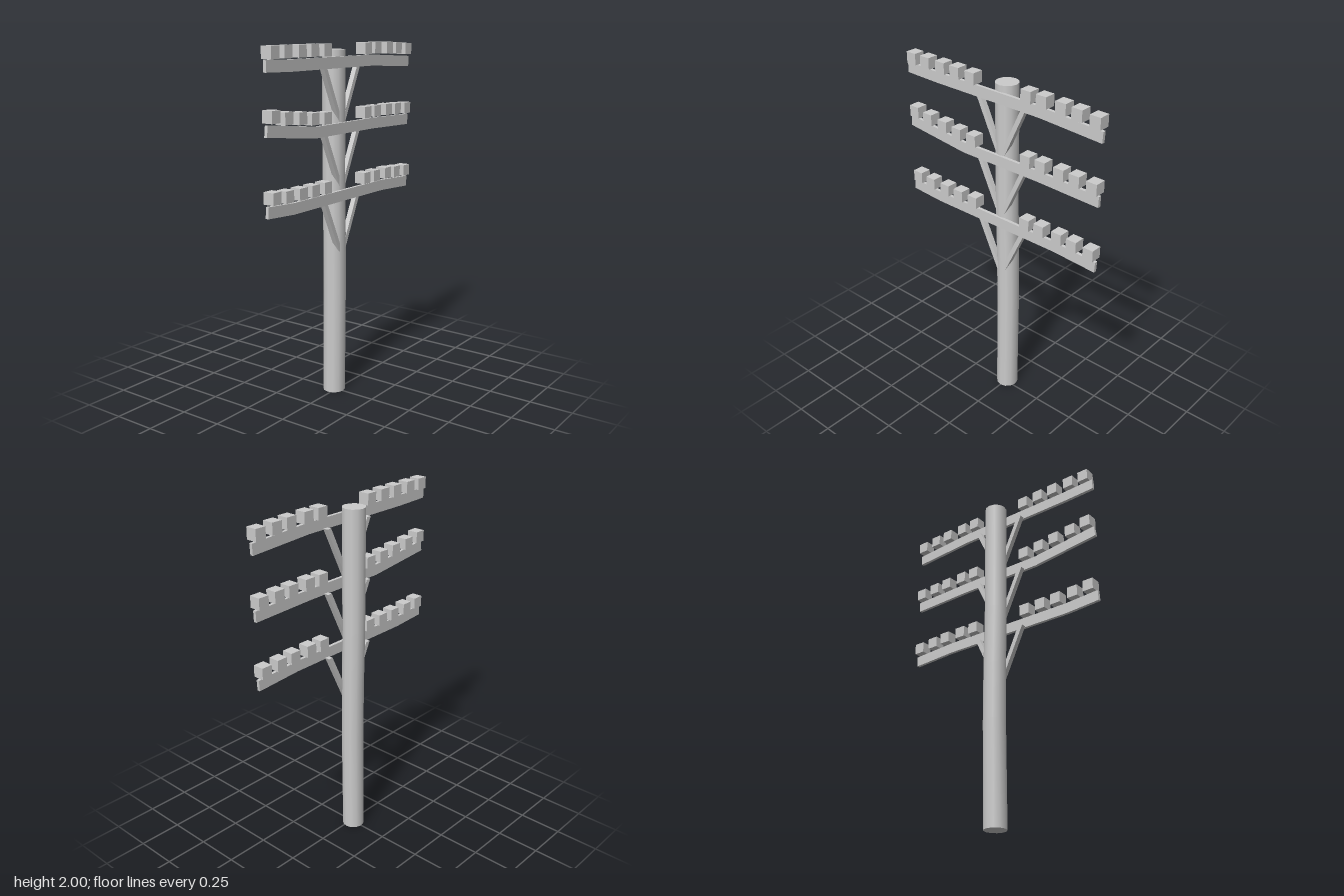
import * as THREE from 'three';

const material = new THREE.MeshStandardMaterial({ color: 0xcccccc });

function addMesh(parent, name, geometry) {
  const mesh = new THREE.Mesh(geometry, material);
  mesh.name = name;
  parent.add(mesh);
  return mesh;
}

// Flat outline in x/y, given a thickness from z0 to z1
function slab(points, z0, z1) {
  const shape = new THREE.Shape(points.map(([x, y]) => new THREE.Vector2(x, y)));
  const geometry = new THREE.ExtrudeGeometry(shape, { depth: z1 - z0, bevelEnabled: false });
  return geometry.translate(0, 0, z0);
}

// Slightly crooked pole: each ring has a height and a sideways shift
function poleGeometry() {
  const rings = [[1.965, -0.002], [1.28, -0.002], [0.93, 0.005], [0.6, 0.007], [0, 0]];
  const geometry = new THREE.CylinderGeometry(0.064, 0.064, 4, 12, 4);
  const p = geometry.attributes.position;
  for (let i = 0; i < p.count; i++) {
    const [y, shift] = rings[Math.round(2 - p.getY(i))];
    p.setXYZ(i, p.getX(i) + shift, y, p.getZ(i) - 0.017);
  }
  return geometry;
}

const ARM_HEIGHT = 0.061;
const BLOCK = 0.064;
const blockX = [-0.606, -0.505, -0.392, -0.288, -0.18, 0.196, 0.294, 0.413, 0.51, 0.617];

// Underside line of each warped arm, and centre heights of its insulators
const tiers = [
  {
    name: 'top',
    under: [[-0.655, 1.873], [-0.45, 1.868], [0.27, 1.868], [0.65, 1.848]],
    blocks: [1.968, 1.968, 1.968, 1.968, 1.966, 1.966, 1.966, 1.964, 1.96, 1.953],
  },
  {
    name: 'middle',
    under: [[-0.655, 1.559], [-0.25, 1.514], [0.27, 1.514], [0.65, 1.504]],
    blocks: [1.658, 1.642, 1.632, 1.62, 1.614, 1.614, 1.614, 1.613, 1.61, 1.606],
  },
  {
    name: 'lower',
    under: [[-0.655, 1.153], [-0.45, 1.14], [0.38, 1.14], [0.65, 1.125]],
    blocks: [1.252, 1.245, 1.242, 1.241, 1.241, 1.241, 1.241, 1.241, 1.235, 1.229],
  },
];

function createTier({ name, under, blocks }) {
  const tier = new THREE.Group();
  tier.name = `${name}Tier`;

  // Crossarm with gently bent ends, cut square to the slope
  const count = under.length;
  const over = under.map(([x, y], i) => {
    const a = under[Math.max(i - 1, 0)], b = under[Math.min(i + 1, count - 1)];
    const slope = (b[1] - a[1]) / (b[0] - a[0]);
    return [x - slope * ARM_HEIGHT, y + ARM_HEIGHT];
  });
  addMesh(tier, 'crossarm', slab([...under, ...over.reverse()], 0.039, 0.057));

  // Insulator blocks along the arm
  blocks.forEach((y, i) => {
    addMesh(tier, 'insulator', new THREE.BoxGeometry(BLOCK, BLOCK, BLOCK))
      .position.set(blockX[i], y, 0.045);
  });

  // Diagonal braces running down into the pole
  const y = under[1][1];
  for (const side of [-1, 1]) {
    const outline = [[0, -0.29], [0.028, -0.29], [0.168, 0.006], [0.139, 0.006]]
      .map(([bx, by]) => [side * bx, y + by]);
    addMesh(tier, side > 0 ? 'leftBrace' : 'rightBrace', slab(outline, 0.011, 0.04));
  }
  return tier;
}

export function createModel() {
  const model = new THREE.Group();
  model.name = 'utilityPole';
  addMesh(model, 'pole', poleGeometry());
  tiers.forEach((tier) => model.add(createTier(tier)));
  return model;
}
